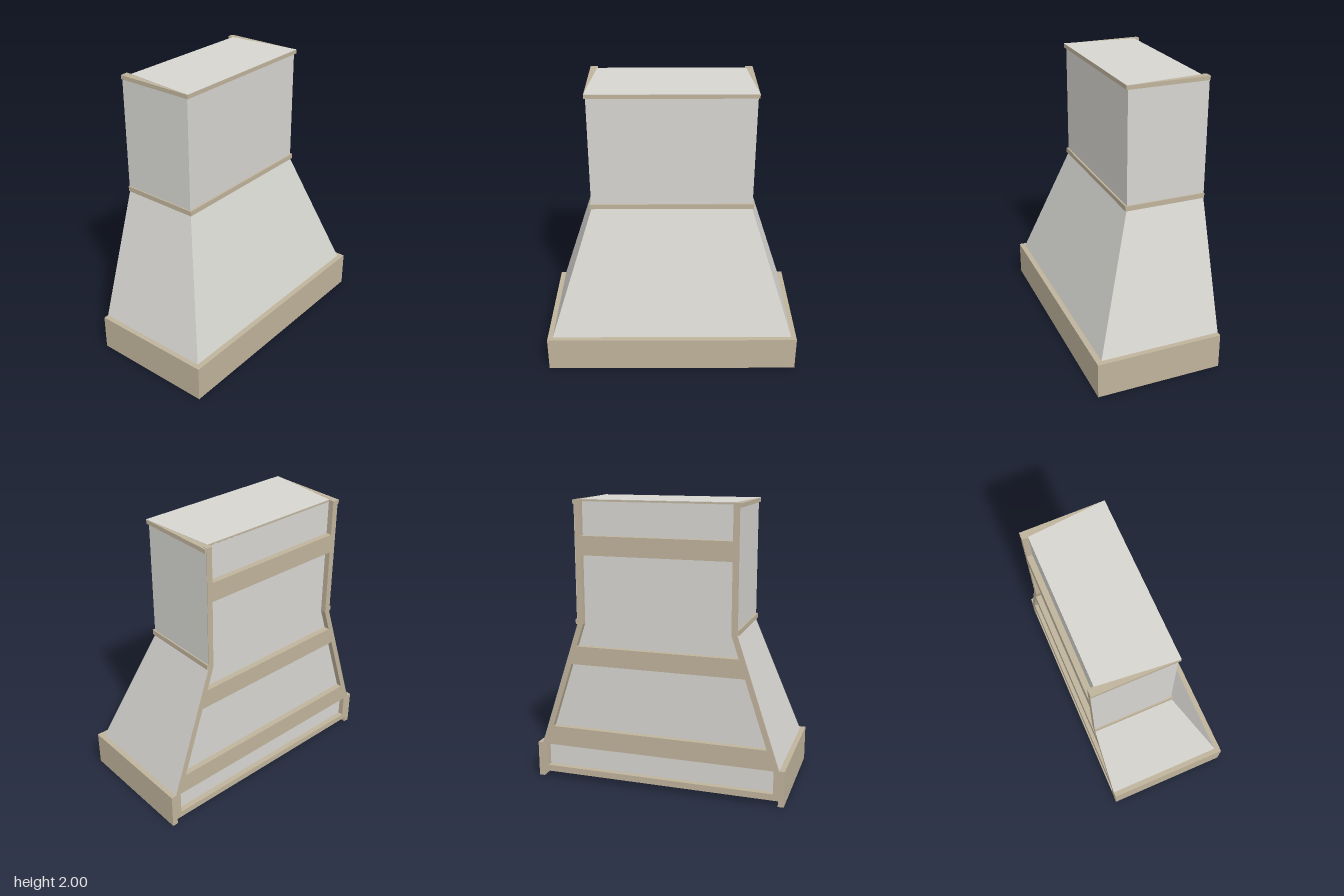
import * as THREE from 'three';

const BACK = -0.45, PANEL = -0.41; // back plane and recessed back panel
const HOOD_BOTTOM = 0.25, HOOD_TOP = 1.155, TOP = 2;

export function createModel() {
  const model = new THREE.Group();
  const wood = new THREE.MeshStandardMaterial({ color: 0xbfb39b, side: THREE.DoubleSide });
  wood.name = 'tan wood';
  const panel = new THREE.MeshStandardMaterial({ color: 0xd6d5d0, side: THREE.DoubleSide });
  panel.name = 'pale grey panel';

  const add = (name, geometry, material) => {
    const mesh = new THREE.Mesh(geometry, material);
    mesh.name = name;
    model.add(mesh);
    return mesh;
  };
  const polygon = (pts) => new THREE.Shape(pts.map(([x, y]) => new THREE.Vector2(x, y)));
  const mirrored = (half) => [...half, ...half.map(([x, y]) => [-x, y]).reverse()];
  // Plan outline given as [x, z], raised from y0 to y1
  const slab = (pts, y0, y1) =>
    new THREE.ExtrudeGeometry(polygon(pts.map(([x, z]) => [x, -z])), { depth: y1 - y0, bevelEnabled: false })
      .rotateX(-Math.PI / 2).translate(0, y0, 0);
  // Band around the front and both sides, open at the back
  const band = (name, x, z, t, y0, y1) =>
    add(name, slab(mirrored([[x - t, BACK], [x, BACK], [x, z]]).slice(0, 3)
      .concat([[-x, z], [-x, BACK], [-x + t, BACK], [-x + t, z - t], [x - t, z - t]]), y0, y1), wood);

  // Base: thick walls on three sides with a raised bottom board
  band('baseWalls', 0.9, 0.45, 0.04, 0, 0.255);
  add('bottomBoard', slab([[-0.86, BACK], [0.86, BACK], [0.86, 0.41], [-0.86, 0.41]], 0.04, 0.085), wood);

  // Three-sided skins joining a lower and an upper section [half width, front z, y]
  const skin = (name, [x0, z0, y0], [x1, z1, y1]) => {
    const ring = (x, y, z) => [[x, y, BACK], [x, y, z], [-x, y, z], [-x, y, BACK]];
    const low = ring(x0, y0, z0), high = ring(x1, y1, z1), pos = [];
    for (let i = 0; i < 3; i++) {
      const [a, b, c, d] = [low[i], low[i + 1], high[i + 1], high[i]];
      pos.push(...a, ...c, ...b, ...a, ...d, ...c);
    }
    const geometry = new THREE.BufferGeometry();
    geometry.setAttribute('position', new THREE.Float32BufferAttribute(pos, 3));
    geometry.computeVertexNormals();
    add(name, geometry, panel);
  };
  skin('hoodPanels', [0.865, 0.413, HOOD_BOTTOM], [0.563, 0.113, HOOD_TOP]);
  skin('chimneyPanels', [0.565, 0.112, HOOD_TOP], [0.565, 0.112, TOP - 0.005]);

  // Trim bands
  band('middleTrim', 0.575, 0.125, 0.03, HOOD_TOP, 1.19);
  band('topTrim', 0.575, 0.125, 0.03, 1.97, TOP - 0.002);

  // Top cap, tapering toward the back over a tan deck
  add('topDeck', slab([[-0.572, PANEL], [0.572, PANEL], [0.572, 0.12], [-0.572, 0.12]], 1.985, 1.997), wood);
  add('topCap', slab([[-0.525, PANEL], [0.525, PANEL], [0.575, 0.125], [-0.575, 0.125]], 1.997, TOP), panel);

  // Half width of the body at a given height
  const halfWidth = (y) => y >= HOOD_TOP ? 0.562
    : 0.861 + (0.562 - 0.861) * (y - HOOD_BOTTOM) / (HOOD_TOP - HOOD_BOTTOM);
  const inner = (y) => halfWidth(y) - 0.04;

  // Recessed back panel
  const outline = [[0.86, 0.06], [0.86, HOOD_BOTTOM], [halfWidth(HOOD_TOP), HOOD_TOP], [0.562, 1.99]];
  add('backPanel', new THREE.ExtrudeGeometry(polygon(mirrored(outline)), { depth: 0.01, bevelEnabled: false })
    .translate(0, 0, PANEL), panel);

  // Back frame: stiles and rails with openings, open at the top
  const frame = polygon(mirrored([
    ...outline.slice(0, 3), [0.562, TOP], [inner(TOP), TOP], [inner(TOP), 1.76],
  ]));
  const openings = [
    [[0.825, 0.085], [0.825, 0.25]],
    [[inner(0.39), 0.39], [inner(0.865), 0.865]],
    [[inner(0.995), 0.995], [inner(HOOD_TOP), HOOD_TOP], [inner(1.63), 1.63]],
  ];
  for (const half of openings) frame.holes.push(polygon(mirrored(half)));
  add('backFrame', new THREE.ExtrudeGeometry(frame, { depth: PANEL - BACK, bevelEnabled: false })
    .translate(0, 0, BACK), wood);

  return model;
}
